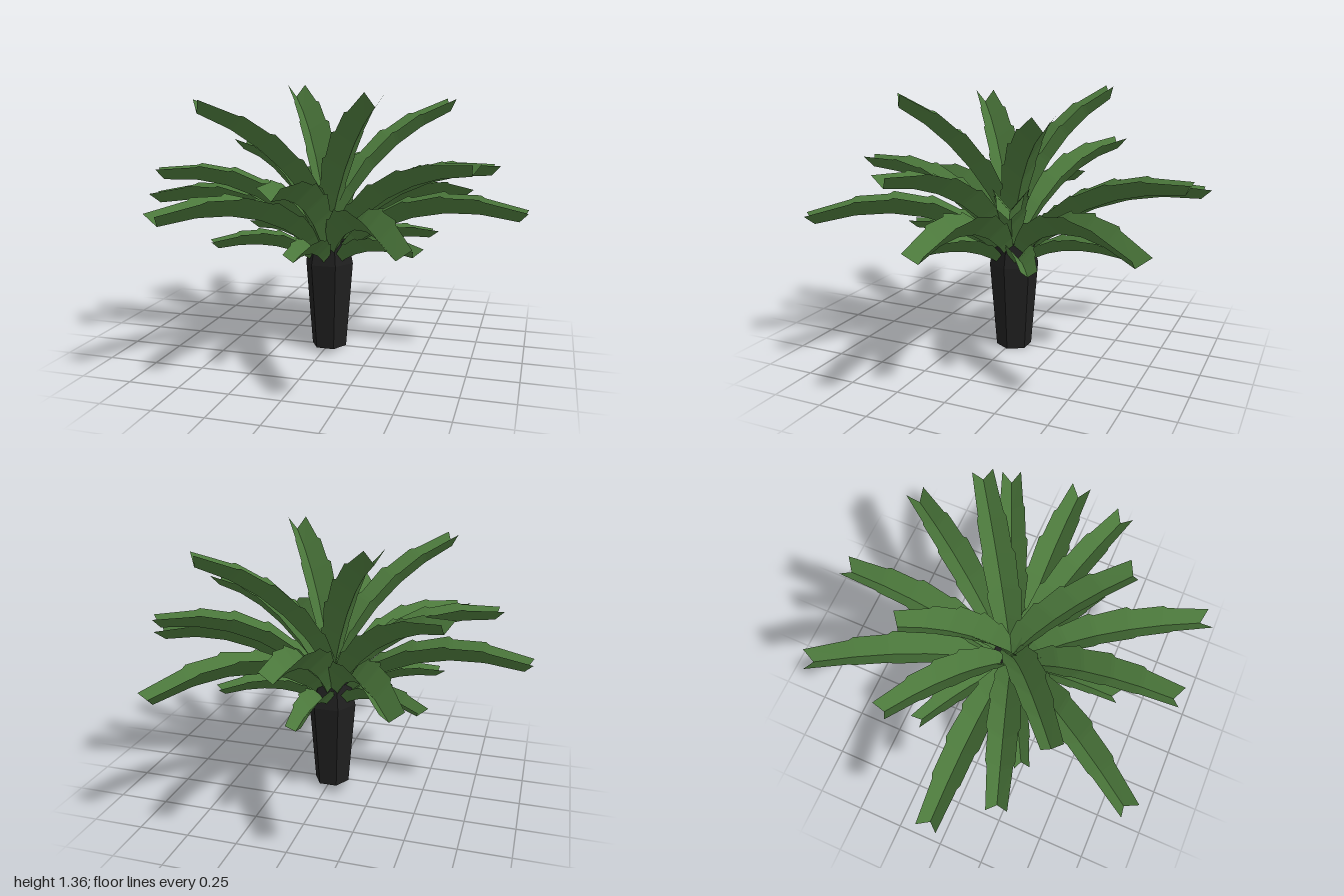
import * as THREE from 'three';

// Leaf outline: [position along the rib, half width]; close pairs make the torn nicks
const OUTLINE = [
  [0, 0.024], [0.14, 0.052], [0.29, 0.078], [0.31, 0.071], [0.46, 0.089], [0.48, 0.079],
  [0.64, 0.086], [0.66, 0.075], [0.81, 0.073], [0.83, 0.064], [1, 0.052],
];

// Each tier: rib start as [radius, height], leaf width scale, and per leaf
// the tip as [x, z, rib height] with the rib's control point as [radius, height]
const TIERS = [
  { name: 'crownFrond', start: [-0.02, 0.53], width: 0.97, leaves: [
    [[0.34, 0.45, 1.27], [0.2, 1.06]], [[0.56, -0.39, 1.22], [0.21, 1.04]],
    [[-0.31, -0.41, 1.29], [0.18, 1.1]], [[-0.53, 0.41, 1.23], [0.21, 1.04]]] },
  { name: 'upperFrond', start: [0.02, 0.5], width: 0.94, leaves: [
    [[0.75, 0.28, 0.96], [0.34, 0.93]], [[-0.62, -0.37, 0.99], [0.31, 0.93]],
    [[0.79, -0.34, 0.89], [0.36, 0.92]], [[-0.79, 0.27, 0.89], [0.36, 0.92]]] },
  { name: 'longFrond', start: [0.05, 0.48], width: 1, leaves: [
    [[0.955, -0.01, 0.71], [0.42, 0.83]], [[-0.965, 0, 0.72], [0.42, 0.83]],
    [[0, 0.84, 0.9], [0.38, 0.89]], [[-0.01, -0.88, 0.88], [0.38, 0.88]],
    [[0.52, 0.85, 0.69], [0.42, 0.84]], [[-0.54, 0.81, 0.76], [0.4, 0.84]],
    [[0.59, -0.81, 0.69], [0.42, 0.84]], [[-0.49, -0.87, 0.77], [0.4, 0.85]]] },
  { name: 'lowFrond', start: [0.07, 0.45], width: 0.74, leaves: [
    [[0.49, 0.29, 0.57], [0.26, 0.6]], [[0, 0.57, 0.58], [0.26, 0.6]],
    [[-0.5, 0.27, 0.55], [0.26, 0.6]], [[-0.5, -0.29, 0.55], [0.26, 0.6]],
    [[0, -0.59, 0.54], [0.26, 0.6]], [[0.48, -0.29, 0.55], [0.26, 0.6]]] },
];

// A deep V-shaped leaf folded along an arching rib, with a notched tip
function frondGeometry(tier, [[x, z, tipY], control]) {
  const reach = Math.hypot(x, z);
  const dx = x / reach, dz = z / reach;
  const at = (r, y) => new THREE.Vector3(dx * r, y, dz * r);
  const rib = new THREE.QuadraticBezierCurve3(at(...tier.start), at(...control), at(reach, tipY));
  const side = new THREE.Vector3(-dz, 0, dx);
  const points = [], index = [];
  OUTLINE.forEach(([t, w], i) => {
    const centre = rib.getPoint(t);
    const along = rib.getTangent(t);
    const up = new THREE.Vector3().crossVectors(side, along);
    const half = w * tier.width;
    for (const s of [-1, 0, 1]) {
      const p = centre.clone();
      if (s) {
        p.addScaledVector(side, s * half).addScaledVector(up, half * 1.15);
        if (t === 1) p.addScaledVector(along, 0.03);
      }
      points.push(p);
    }
    if (i) {
      const a = (i - 1) * 3, b = i * 3;
      for (const k of [0, 1]) {
        index.push(a + k, a + k + 1, b + k + 1, a + k, b + k + 1, b + k);
      }
    }
  });
  const indexed = new THREE.BufferGeometry().setFromPoints(points).setIndex(index);
  const geometry = indexed.toNonIndexed();
  geometry.computeVertexNormals();
  return geometry;
}

export function createModel() {
  const plant = new THREE.Group();
  plant.name = 'palmPlant';

  const leafGreen = new THREE.MeshStandardMaterial({
    name: 'leafGreen', color: 0x4c793c, flatShading: true, side: THREE.DoubleSide });
  const trunkBlack = new THREE.MeshStandardMaterial({
    name: 'trunkBlack', color: 0x1f1f1f, flatShading: true });

  // Six-sided trunk flaring up to a shoulder, with a tapered cap
  const section = (name, top, bottom, y0, y1) => {
    const geometry = new THREE.CylinderGeometry(top, bottom, y1 - y0, 6, 1, false, Math.PI / 6);
    const mesh = new THREE.Mesh(geometry, trunkBlack);
    mesh.name = name;
    mesh.position.set(0, (y0 + y1) / 2, -0.01);
    plant.add(mesh);
  };
  section('trunk', 0.127, 0.092, 0, 0.45);
  section('trunkCap', 0.1, 0.127, 0.45, 0.57);

  // Tiers of fronds
  for (const tier of TIERS) {
    const group = new THREE.Group();
    group.name = tier.name + 's';
    tier.leaves.forEach((leaf, i) => {
      const frond = new THREE.Mesh(frondGeometry(tier, leaf), leafGreen);
      frond.name = tier.name + (i + 1);
      group.add(frond);
    });
    plant.add(group);
  }
  return plant;
}
